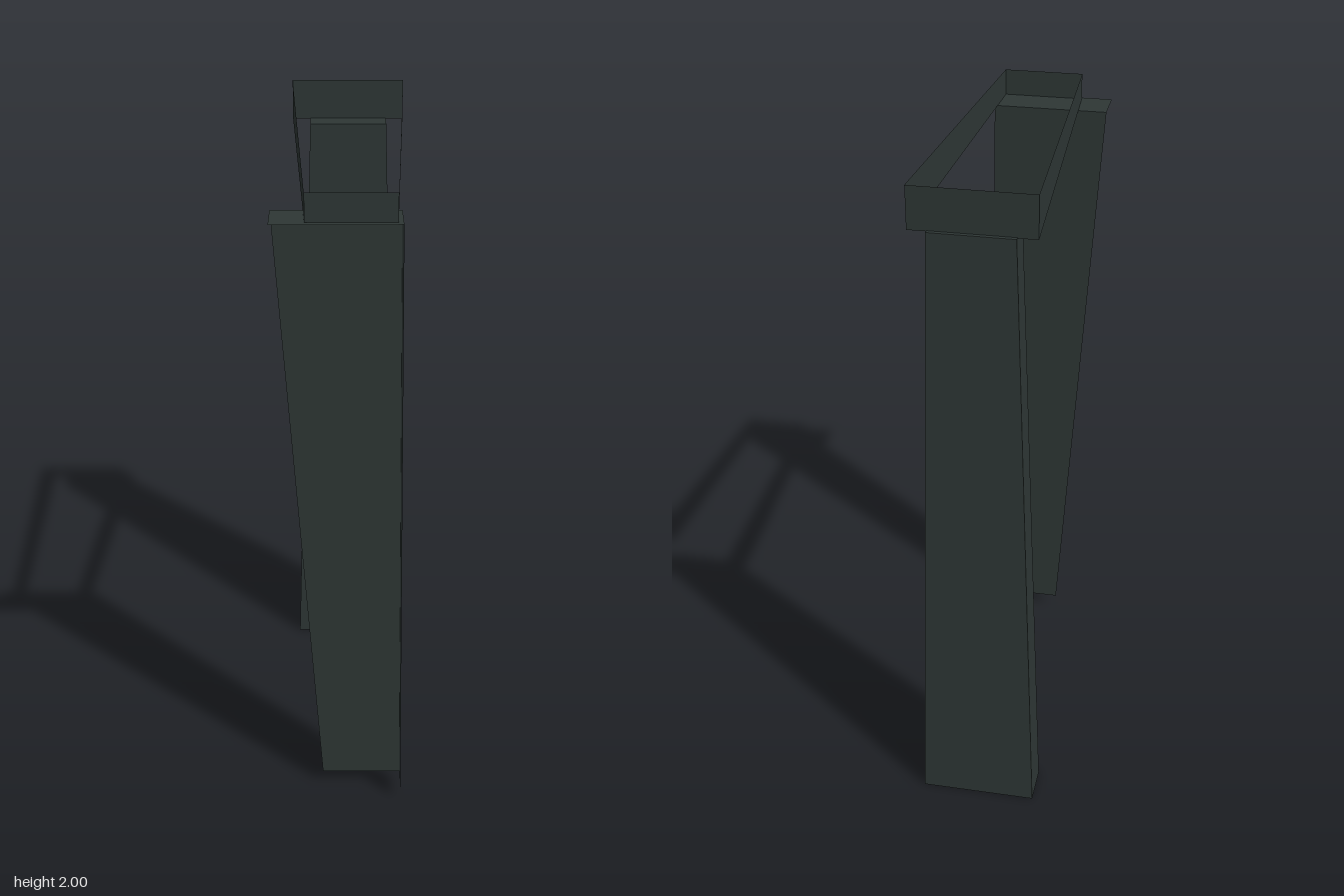
import * as THREE from 'three';

// Thin sheet metal, seen from both sides
const darkMetal = new THREE.MeshStandardMaterial({ color: 0x2e3735, side: THREE.DoubleSide });
darkMetal.name = 'darkMetal';

// Four corners of a rectangle at the height y: front left, front right, back right, back left
const ring = (x0, x1, zBack, zFront, yBack, yFront = yBack) => [
  [x0, yFront, zFront], [x1, yFront, zFront], [x1, yBack, zBack], [x0, yBack, zBack],
];

// Sheet wall number i (0 front, 1 left, 2 back, 3 right) between two rings
const wall = (low, high, i) => [low[i], low[(i + 1) % 4], high[(i + 1) % 4], high[i]];

// One flat-faced mesh from a list of quads
function sheets(name, quads) {
  const points = [];
  for (const [a, b, c, d] of quads) points.push(...a, ...b, ...c, ...a, ...c, ...d);
  const geometry = new THREE.BufferGeometry();
  geometry.setAttribute('position', new THREE.Float32BufferAttribute(points, 3));
  geometry.computeVertexNormals();
  const mesh = new THREE.Mesh(geometry, darkMetal);
  mesh.name = name;
  return mesh;
}

export function createModel() {
  const model = new THREE.Group();
  model.name = 'archFrame';

  // Back leg: tapered hollow post with a cap, open at the foot
  const backFoot = ring(-0.155, 0.19, -0.56, -0.44, 0);
  const backTop = ring(-0.1, 0.137, -0.525, -0.44, 1.88);
  model.add(sheets('backLeg', [...[0, 1, 2, 3].map((i) => wall(backFoot, backTop, i)), backTop]));

  // Front leg: back sheet, one side sheet and a cap
  const frontFoot = ring(-0.065, 0.175, 0.423, 0.506, 0.045);
  const frontTop = ring(-0.194, 0.152, 0.439, 0.56, 1.887);
  model.add(sheets('frontLeg', [wall(frontFoot, frontTop, 1), wall(frontFoot, frontTop, 2), frontTop]));

  // Top frame: four upright sheets, wider and taller at the back
  const frameLow = ring(-0.155, 0.19, -0.513, 0.546, 1.878, 1.888);
  const frameHigh = ring(-0.155, 0.19, -0.513, 0.546, 2, 1.967);
  for (const r of [frameLow, frameHigh]) {
    r[0][0] = -0.102;
    r[1][0] = 0.138;
  }
  model.add(sheets('topFrame', [0, 1, 2, 3].map((i) => wall(frameLow, frameHigh, i))));

  return model;
}
